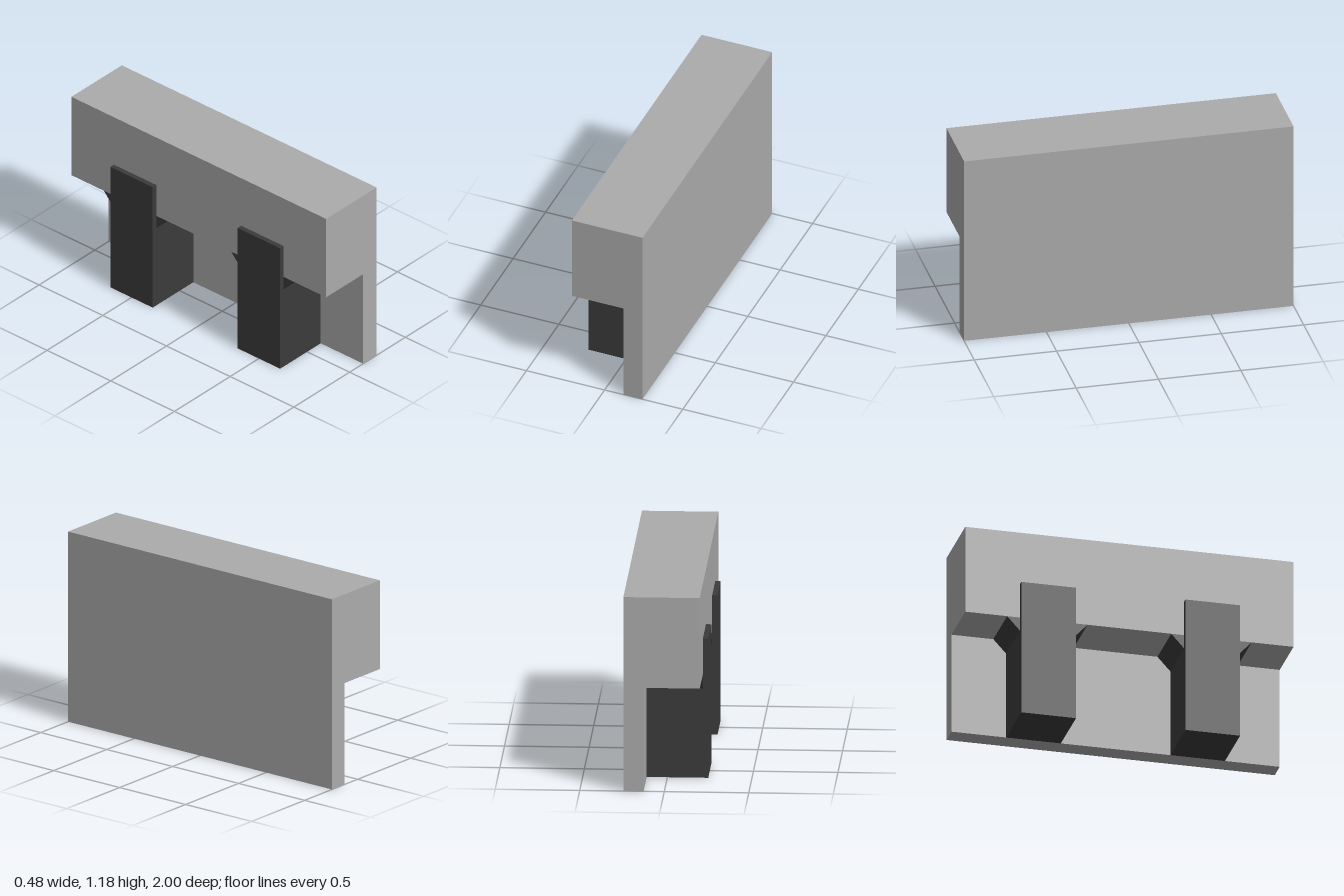
import * as THREE from 'three';

const grey = new THREE.MeshStandardMaterial({ color: 0xababab });
grey.name = 'lightGrey';
const dark = new THREE.MeshStandardMaterial({ color: 0x3b3b3b });
dark.name = 'charcoal';

// Extrudes a polygon along z, centred on z = 0
function prism(name, points, depth, material) {
  const shape = new THREE.Shape(points.map(([x, y]) => new THREE.Vector2(x, y)));
  const geometry = new THREE.ExtrudeGeometry(shape, { depth, bevelEnabled: false });
  geometry.translate(0, 0, -depth / 2);
  const mesh = new THREE.Mesh(geometry, material);
  mesh.name = name;
  return mesh;
}

const OUTER = -0.242, FACE = -0.21, WALL = 0.122, BACK = 0.242;
const LEDGE = 0.632, TOP = 1.185;

function makeBracket(z) {
  const bracket = new THREE.Group();
  bracket.name = 'bracket';

  // Support block with an upright lip against the beam's face
  bracket.add(prism('supportBlock', [
    [OUTER, 0], [WALL, 0], [WALL, LEDGE], [FACE, LEDGE], [FACE, 0.85], [OUTER, 0.85],
  ], 0.333, dark));

  // Flared head under the ledge, widening along z
  const head = prism('flaredHead', [
    [-0.1665, 0.546], [0.1665, 0.546], [0.245, LEDGE], [-0.245, LEDGE],
  ], WALL - FACE, dark);
  head.rotation.y = Math.PI / 2;
  head.position.x = (WALL + FACE) / 2;
  bracket.add(head);

  bracket.position.z = z;
  return bracket;
}

export function createModel() {
  const model = new THREE.Group();
  model.name = 'bracketedBeam';

  // Wall panel with overhanging beam, one L-shaped section
  model.add(prism('wallAndBeam', [
    [WALL, 0], [BACK, 0], [BACK, TOP], [FACE, TOP], [FACE, LEDGE], [WALL, LEDGE],
  ], 2, grey));

  for (const z of [-0.5, 0.5]) model.add(makeBracket(z));
  return model;
}
